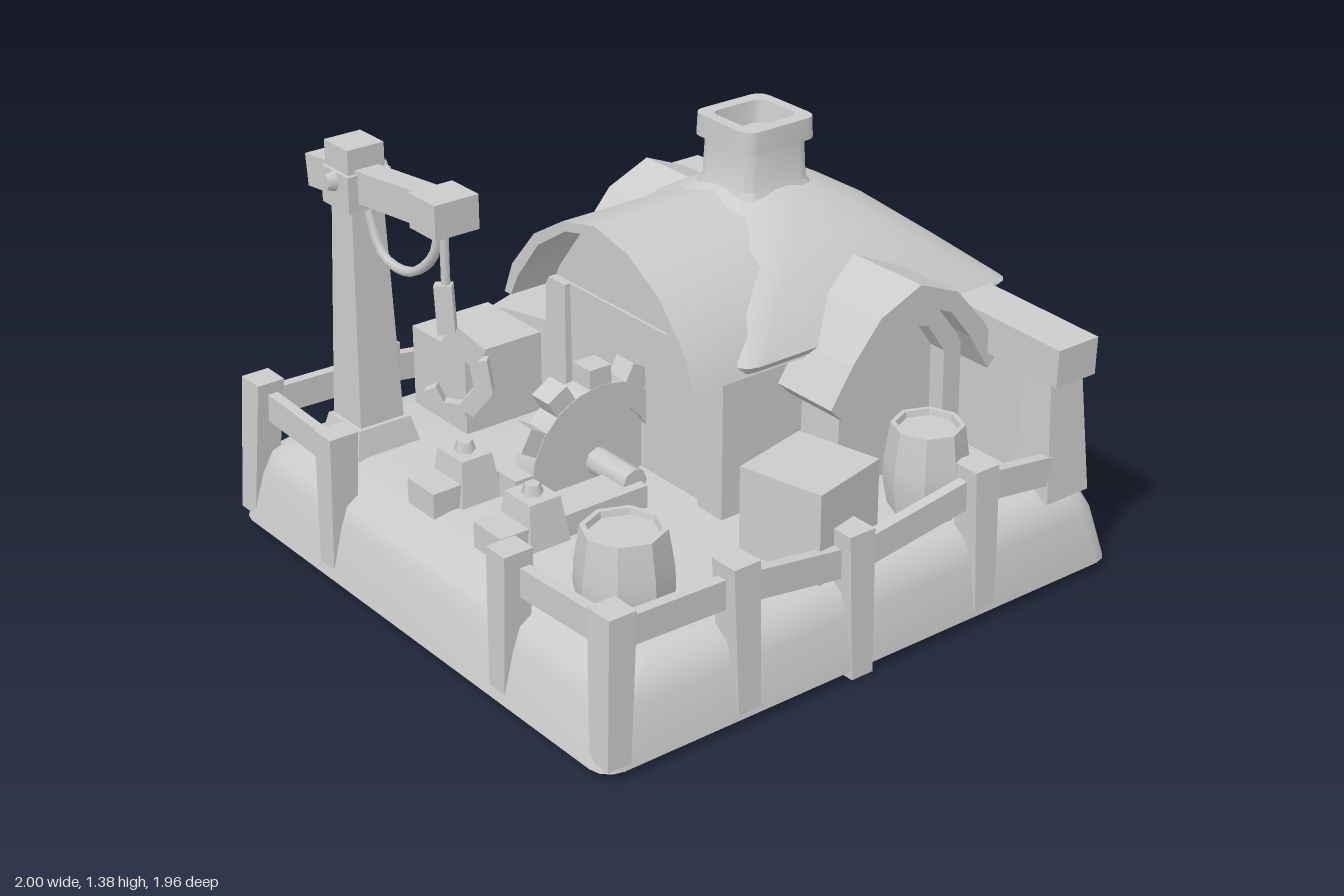
import * as THREE from 'three';
import { toCreasedNormals } from 'three/addons/utils/BufferGeometryUtils.js';

const V = (x, y, z) => new THREE.Vector3(x, y, z);

export function createModel() {
  const model = new THREE.Group();
  const mat = new THREE.MeshStandardMaterial({ color: 0xcccccc, side: THREE.DoubleSide });

  function add(name, geometry, x = 0, y = 0, z = 0) {
    const mesh = new THREE.Mesh(geometry, mat);
    mesh.name = name;
    mesh.position.set(x, y, z);
    model.add(mesh);
    return mesh;
  }

  // Box standing on y0; the foot can be widened and shifted
  function block(name, x, y0, z, w, h, d, foot = 1, dx = 0, dz = 0) {
    const g = new THREE.BoxGeometry(w, h, d).translate(0, h / 2, 0);
    const p = g.attributes.position;
    for (let i = 0; i < p.count; i++) {
      if (p.getY(i) < h / 2) p.setXYZ(i, p.getX(i) * foot + dx, 0, p.getZ(i) * foot + dz);
    }
    g.computeVertexNormals();
    return add(name, g, x, y0, z);
  }

  // Square beam from a to b
  function bar(name, a, b, w, h) {
    const m = add(name, new THREE.BoxGeometry(w, h, a.distanceTo(b)));
    m.position.copy(a).add(b).multiplyScalar(0.5);
    m.lookAt(b);
    return m;
  }

  // Rounded rectangle cross-section
  function ring(cx, y, hx, hz, r, steps = 4) {
    const pts = [];
    [[1, 1], [-1, 1], [-1, -1], [1, -1]].forEach(([sx, sz], q) => {
      for (let i = 0; i < steps; i++) {
        const a = (q + i / (steps - 1)) * Math.PI / 2;
        pts.push(V(cx + sx * (hx - r) + r * Math.cos(a), y, sz * (hz - r) + r * Math.sin(a)));
      }
    });
    return pts;
  }

  // Skin over cross-sections, closed at both ends
  function loft(name, rings, crease = 0.7) {
    const n = rings[0].length, pos = [], idx = [];
    rings.flat().forEach(p => pos.push(p.x, p.y, p.z));
    for (let k = 0; k < rings.length - 1; k++) {
      for (let i = 0; i < n; i++) {
        const a = k * n + i, b = k * n + (i + 1) % n;
        idx.push(a, a + n, b, b, a + n, b + n);
      }
    }
    const t = (rings.length - 1) * n;
    for (let i = 1; i < n - 1; i++) idx.push(0, i, i + 1, t, t + i + 1, t + i);
    const g = new THREE.BufferGeometry();
    g.setAttribute('position', new THREE.Float32BufferAttribute(pos, 3));
    g.setIndex(idx);
    return add(name, toCreasedNormals(g, crease));
  }

  const shape = pts => new THREE.Shape(pts.map(p => new THREE.Vector2(...p)));
  const mirror = (pts, c) => [...pts, ...pts.slice(0, -1).reverse().map(([x, y]) => [2 * c - x, y])];
  const extrude = (s, depth) => new THREE.ExtrudeGeometry(s, { depth, bevelEnabled: false });

  // Ground block with rounded shoulders
  loft('base', [
    ring(0, 0.03, 1, 0.975, 0.07), ring(0, 0.2, 0.96, 0.95, 0.08), ring(0, 0.27, 0.935, 0.925, 0.1),
    ring(0, 0.305, 0.88, 0.88, 0.12), ring(0, 0.325, 0.76, 0.78, 0.12),
  ], 0.9);

  // House body with a gable under the barrel roof
  const gable = mirror([[-0.42, 0.3], [-0.42, 0.84], [-0.28, 1.02], [-0.14, 1.1], [0, 1.13]], 0);
  add('houseBody', extrude(shape(gable), 0.35).rotateY(Math.PI / 2), -0.12);
  block('houseWalls', 0.36, 0.3, 0, 0.98, 0.52, 0.84);
  for (const s of [-1, 1]) block('cornerPost', -0.1, 0.3, s * 0.39, 0.1, 0.52, 0.1, 1.15);

  // Main domed roof
  loft('roof', [
    ring(0.42, 0.8, 0.53, 0.48, 0.05), ring(0.425, 0.825, 0.545, 0.5, 0.06),
    ring(0.37, 0.94, 0.47, 0.425, 0.16), ring(0.35, 1.07, 0.33, 0.305, 0.2),
    ring(0.34, 1.15, 0.2, 0.18, 0.16), ring(0.33, 1.2, 0.08, 0.08, 0.07),
  ], 0.8);

  // Open barrel roof reaching out to the side
  const outer = mirror([[-0.475, 0.79], [-0.43, 0.9], [-0.31, 1.04], [-0.16, 1.13], [0, 1.165]], 0);
  const inner = outer.map(([z, y]) => [z * 0.93, y === 0.79 ? y : y - 0.03]).reverse();
  add('barrelRoof', toCreasedNormals(extrude(shape([...outer, ...inner]), 0.5).rotateY(Math.PI / 2), 0.6), -0.285);

  // Chimney with hollow collar
  loft('chimney', [
    ring(0.33, 1.12, 0.17, 0.17, 0.08), ring(0.33, 1.18, 0.13, 0.125, 0.05),
    ring(0.33, 1.31, 0.125, 0.12, 0.05), ring(0.33, 1.31, 0.14, 0.137, 0.04),
    ring(0.33, 1.38, 0.137, 0.135, 0.04), ring(0.33, 1.38, 0.1, 0.09, 0.03),
    ring(0.33, 1.31, 0.09, 0.08, 0.03),
  ]);

  // Arched doorways, front and back, under a shared canopy
  const top = mirror([[0.08, 0.7], [0.16, 0.82], [0.27, 0.945], [0.425, 1.01]], 0.425);
  const under = mirror([[0.13, 0.65], [0.21, 0.78], [0.295, 0.885], [0.425, 0.945]], 0.425).reverse();
  add('doorCanopy', extrude(shape([...top, ...under]), 1.32), 0, 0, -0.66);
  const arch = mirror([[0.17, 0.3], [0.18, 0.74], [0.29, 0.88], [0.425, 0.945]], 0.425);
  const opening = mirror([[0.24, 0.3], [0.25, 0.72], [0.32, 0.82], [0.425, 0.86]], 0.425);
  add('door', extrude(shape(opening), 1.06), 0, 0, -0.53);
  add('doorFrame', extrude(shape([...arch, ...opening.reverse()]), 1.18), 0, 0, -0.59);

  // End wall with posts, beams and bolted feet
  block('endWall', 0.81, 0.3, 0, 0.08, 0.45, 1.7);
  const bolt = (x, y, z) => add('bolt', new THREE.CylinderGeometry(0.025, 0.036, 0.035, 5).toNonIndexed(), x, y, z);
  for (const s of [-1, 1]) {
    bar('endBeam', V(0.8, 0.775, s * 0.31), V(0.8, 0.755, s * 0.955), 0.165, 0.125);
    block('outerPost', 0.815, 0.28, s * 0.845, 0.13, 0.44, 0.11, 1.35, 0.01, 0.01 * s);
    block('innerPost', 0.845, 0.3, s * 0.38, 0.09, 0.42, 0.12, 1.15);
    block('postFoot', 0.865, 0.29, s * 0.385, 0.11, 0.145, 0.16, 1.2);
    bolt(0.935, 0.38, s * 0.39).rotation.z = -Math.PI / 2;
  }

  // Fence along front, back and part of the open side
  const stops = [[-0.92, 0.43], [-0.485, 0.42], [-0.055, 0.36], [0.44, 0.43], [0.75, 0.39]];
  for (const s of [-1, 1]) {
    stops.slice(0, 4).forEach(([x], i) => {
      const y0 = i === 2 ? 0 : 0.05;
      block('fencePost', x, y0, s * 0.91, 0.095, (i === 2 ? 0.47 : 0.515) - y0, 0.1, 0.85, i ? 0 : -0.03, s * 0.025);
    });
    for (let i = 0; i < 4; i++) {
      const [x0, y0] = stops[i], [x1, y1] = stops[i + 1];
      bar('fenceRail', V(x0, y0, s * 0.905), V(x1, y1, s * 0.905), 0.035, 0.095);
    }
    block('fenceSidePost', -0.935, 0.06, s * 0.455, 0.1, 0.45, 0.09, 0.85, -0.015);
    bar('fenceSideRail', V(-0.915, 0.43, s * 0.91), V(-0.915, 0.41, s * 0.455), 0.035, 0.095);
  }

  // Bulging barrels with a sunken lid
  for (const [x, z, r] of [[-0.71, 0.69, 0.14], [0.39, 0.75, 0.125]]) {
    const prof = [[0, 0], [0.9, 0], [1.05, 0.1], [1.03, 0.17], [0.9, 0.285], [0.78, 0.285], [0.75, 0.265], [0, 0.265]];
    const g = new THREE.LatheGeometry(prof.map(([k, y]) => new THREE.Vector2(k * r, y)), 8);
    add('barrel', toCreasedNormals(g, 0.6), x, 0.315, z);
  }

  // Crates
  block('crate', -0.06, 0.31, 0.73, 0.29, 0.295, 0.29).rotation.y = 0.23;
  block('crate', -0.285, 0.31, -0.64, 0.295, 0.29, 0.295);
  block('crate', 0.05, 0.31, -0.74, 0.24, 0.26, 0.24).rotation.y = 0.35;

  // Toothed wheel, half sunk in the ground
  const rim = new THREE.Shape().absarc(0, 0, 0.265, 0, Math.PI * 2);
  rim.holes.push(new THREE.Path().absarc(0, 0, 0.19, 0, Math.PI * 2));
  const wheelGeo = new THREE.ExtrudeGeometry(rim, { depth: 0.09, bevelEnabled: false, curveSegments: 10 });
  add('wheelRim', toCreasedNormals(wheelGeo, 0.7), -0.3, 0.4, -0.045);
  add('wheelDisc', new THREE.CylinderGeometry(0.2, 0.2, 0.04, 16).rotateX(Math.PI / 2), -0.3, 0.4, 0);
  add('wheelAxle', new THREE.CylinderGeometry(0.045, 0.045, 0.42, 8).rotateX(Math.PI / 2), -0.3, 0.4, 0);
  for (let i = 0; i < 12; i++) {
    const a = i * Math.PI / 6, c = Math.cos(a), n = Math.sin(a);
    if (n < -0.1) continue;
    bar('wheelTooth', V(-0.3 + 0.24 * c, 0.4 + 0.24 * n, 0), V(-0.3 + 0.325 * c, 0.4 + 0.325 * n, 0), 0.08, 0.08)
      .rotation.set(0, 0, a + Math.PI / 2);
  }

  // Wheel bearers with bolted blocks
  for (const s of [-1, 1]) {
    block('bearer', -0.55, 0.3, s * 0.175, 0.54, 0.1, 0.14);
    block('bearerBlock', -0.655, 0.3, s * 0.175, 0.11, 0.17, 0.13, 1.4);
    bolt(-0.655, 0.485, s * 0.175);
  }

  // Crane: post, arm, head and bolts
  block('craneFoot', -0.685, 0.31, -0.665, 0.19, 0.1, 0.18, 1.25);
  block('cranePost', -0.685, 0.31, -0.67, 0.11, 0.9, 0.11, 1.5);
  block('craneHead', -0.685, 1.13, -0.67, 0.155, 0.12, 0.15);
  block('craneCap', -0.685, 1.24, -0.675, 0.13, 0.09, 0.13);
  bar('craneArm', V(-0.685, 1.255, -0.18), V(-0.685, 1.18, -0.89), 0.085, 0.105);
  block('craneTip', -0.685, 1.2, -0.195, 0.155, 0.11, 0.135);
  for (const s of [-1, 1]) bolt(-0.685 + s * 0.09, 1.22, -0.675).rotation.z = -s * Math.PI / 2;

  // Slack rope under the arm, straight rope and hook
  const tube = (name, pts, r, seg) =>
    add(name, new THREE.TubeGeometry(new THREE.CatmullRomCurve3(pts), seg, r, 6));
  tube('slackRope', [V(-0.685, 1.22, -0.22), V(-0.685, 1.09, -0.26), V(-0.685, 0.99, -0.4),
    V(-0.685, 1.0, -0.54), V(-0.685, 1.1, -0.6), V(-0.685, 1.2, -0.62)], 0.016, 16);
  tube('rope', [V(-0.685, 1.22, -0.2), V(-0.685, 1, -0.2)], 0.014, 2);
  const hook = [[-0.005, 1.02], [0, 0.86], [0.065, 0.78], [0.075, 0.68], [0.035, 0.61], [-0.02, 0.62], [-0.04, 0.68]];
  for (let i = 0; i < hook.length - 1; i++) {
    const [a, b] = [hook[i], hook[i + 1]].map(([k, y]) => V(-0.685 + k, y, -0.2 + k));
    const w = i < 4 ? 0.055 : 0.04;
    bar('hook', a, b, 0.035, w);
  }
  return model;
}
